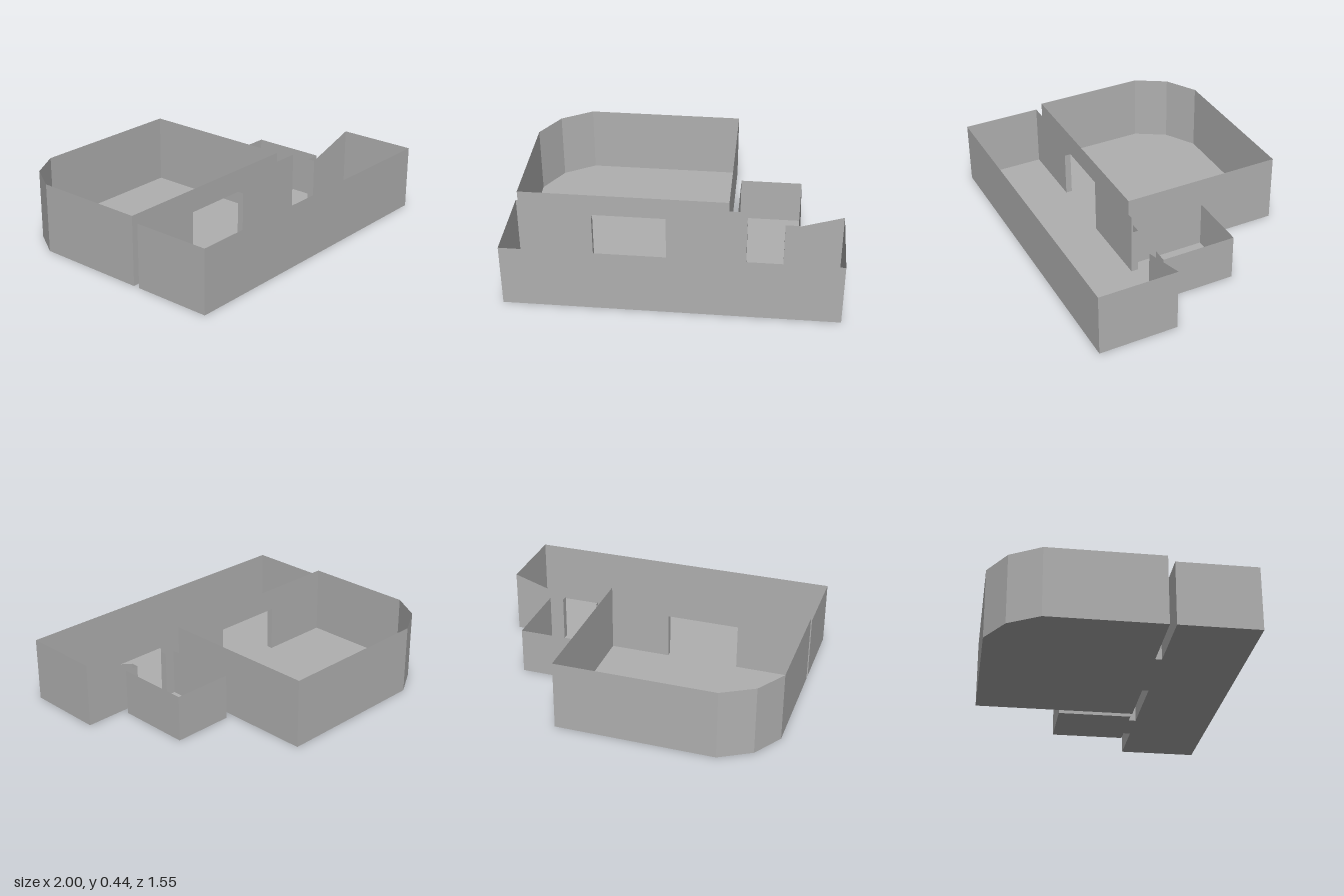
import * as THREE from 'three';

const plaster = new THREE.MeshStandardMaterial({ color: 0xb0b0b0, side: THREE.DoubleSide });
plaster.name = 'grey plaster';

// Upright paper-thin wall along [x, z, topHeight, bottomHeight = 0] points
function wall(name, points) {
  const pos = [];
  for (let i = 0; i < points.length - 1; i++) {
    const [ax, az, at, ab = 0] = points[i];
    const [bx, bz, bt, bb = 0] = points[i + 1];
    pos.push(ax, ab, az, bx, bb, bz, bx, bt, bz);
    pos.push(ax, ab, az, bx, bt, bz, ax, at, az);
  }
  const geo = new THREE.BufferGeometry();
  geo.setAttribute('position', new THREE.Float32BufferAttribute(pos, 3));
  geo.computeVertexNormals();
  const mesh = new THREE.Mesh(geo, plaster);
  mesh.name = name;
  return mesh;
}

// Flat floor from [x, z] corners
function floor(name, corners) {
  const shape = new THREE.Shape(corners.map(([x, z]) => new THREE.Vector2(x, -z)));
  const mesh = new THREE.Mesh(new THREE.ShapeGeometry(shape).rotateX(-Math.PI / 2), plaster);
  mesh.name = name;
  return mesh;
}

const rect = (x0, x1, z0, z1) => [[x0, z0], [x0, z1], [x1, z1], [x1, z0]];

export function createModel() {
  const model = new THREE.Group();
  model.name = 'floorPlan';

  const hall = 0.4, big = 0.435, low = 0.29; // wall heights; low is also the door height
  const hallBack = 0.28, bigFront = 0.24, smallFront = 0.235, end = 0.775;
  const bigDoor = [-0.54, -0.08], smallDoor = [0.42, 0.65];

  // Large room with its bevelled corner
  const bigCorners = [
    [0.305, bigFront], [0.305, -end], [-0.69, -end],
    [-0.885, -0.66], [-1, -0.47], [-1, bigFront],
  ];
  model.add(floor('largeRoomFloor', bigCorners));
  model.add(wall('largeRoomWalls', [
    [bigDoor[1], bigFront, big],
    ...bigCorners.map(([x, z]) => [x, z, big]),
    [bigDoor[0], bigFront, big],
  ]));
  model.add(wall('largeRoomLintel', bigDoor.map((x) => [x, bigFront, big, low])));

  // Small room
  const smallCorners = [[0.355, smallFront], [0.355, -0.235], [0.74, -0.235], [0.74, smallFront]];
  model.add(floor('smallRoomFloor', smallCorners));
  model.add(wall('smallRoomWalls', [
    [smallDoor[0], smallFront, low],
    ...smallCorners.map(([x, z]) => [x, z, low]),
    [smallDoor[1], smallFront, low],
  ]));

  // Hall: outer walls, with the wall beside the small door sloping down to it
  model.add(floor('hallFloor', rect(-1, 1, hallBack, end)));
  model.add(wall('hallOuterWalls', [
    [bigDoor[0], hallBack, hall], [-1, hallBack, hall], [-1, end, hall],
    [1, end, hall], [1, hallBack, hall], [smallDoor[1], hallBack, low],
  ]));
  model.add(wall('hallMiddleWall', [[bigDoor[1], hallBack, hall], [smallDoor[0], hallBack, hall]]));

  // Doorways: sill and two jambs each
  for (const [name, door, front] of [['largeDoor', bigDoor, bigFront], ['smallDoor', smallDoor, smallFront]]) {
    model.add(floor(name + 'Sill', rect(door[0], door[1], front, hallBack)));
    for (const x of door) model.add(wall(name + 'Jamb', [[x, front, low], [x, hallBack, low]]));
  }
  return model;
}
